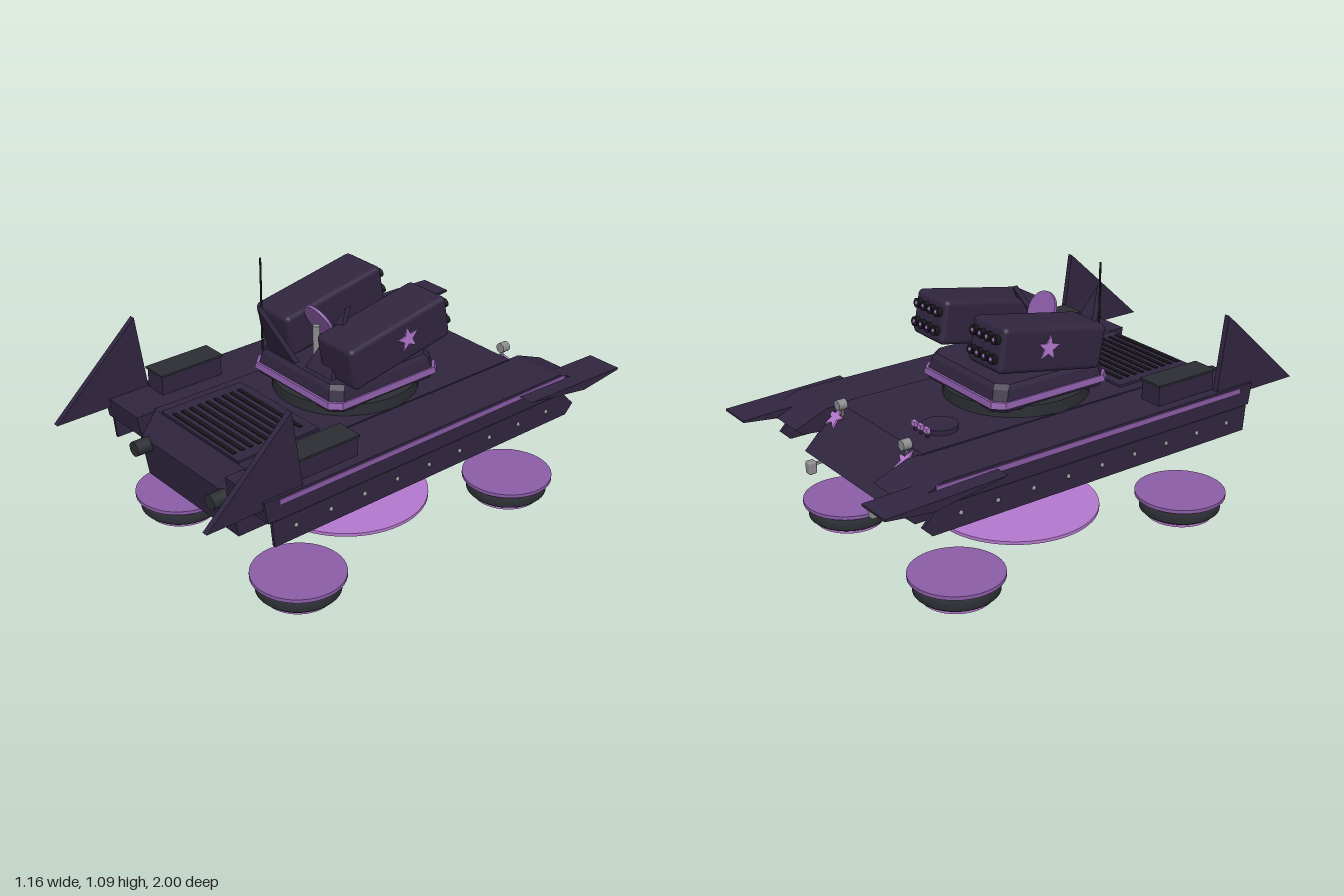
import * as THREE from 'three';
import { RoundedBoxGeometry } from 'three/addons/geometries/RoundedBoxGeometry.js';
import { ConvexGeometry } from 'three/addons/geometries/ConvexGeometry.js';

const material = (name, color, side = THREE.FrontSide) => {
  const m = new THREE.MeshStandardMaterial({ color, side });
  m.name = name;
  return m;
};

export function createModel() {
  const root = new THREE.Group();
  root.name = 'hoverTank';

  const armour = material('dark purple armour', 0x30253f);
  const trim = material('purple trim', 0x8a5ca6);
  const glow = material('bright violet', 0xb377cc);
  const rubber = material('dark grey', 0x2b2e33);
  const metal = material('light grey metal', 0x8c8c90);
  const black = material('black', 0x17171b);

  const add = (name, geo, mat, x = 0, y = 0, z = 0, parent = root) => {
    const mesh = new THREE.Mesh(geo, mat);
    mesh.name = name;
    mesh.position.set(x, y, z);
    parent.add(mesh);
    return mesh;
  };
  const box = (w, h, d) => new THREE.BoxGeometry(w, h, d);
  const disc = (r, h, n = 40, r2 = r) => new THREE.CylinderGeometry(r, r2, h, n);

  // Extrudes a [z, y] side profile between two x positions
  const slab = (profile, x0, x1) => {
    const shape = new THREE.Shape(profile.map(([z, y]) => new THREE.Vector2(z, y)));
    return new THREE.ExtrudeGeometry(shape, { depth: x1 - x0, bevelEnabled: false })
      .rotateY(-Math.PI / 2).translate(x1, 0, 0);
  };
  // Mirrors an x range
  const range = (s, a, b) => (s > 0 ? [a, b] : [-b, -a]);

  // Solid through chamfered rectangles [y, half width, back z, front z]
  const loft = (sections, c) => new ConvexGeometry(sections.flatMap(([y, w, z0, z1]) =>
    [-1, 1].flatMap((s) => [
      [s * w, z0 + c], [s * (w - c), z0], [s * w, z1 - c], [s * (w - c), z1],
    ].map(([x, z]) => new THREE.Vector3(x, y, z)))));

  const star = (r) => {
    const pts = [];
    for (let i = 0; i < 10; i++) {
      const a = Math.PI / 2 + (i * Math.PI) / 5, q = i % 2 ? r * 0.42 : r;
      pts.push(new THREE.Vector2(q * Math.cos(a), q * Math.sin(a)));
    }
    return new THREE.ExtrudeGeometry(new THREE.Shape(pts), { depth: 0.008, bevelEnabled: false });
  };

  // Hull
  add('hull', slab([[0.72, 0.29], [0.75, 0.47], [0.68, 0.56], [-0.66, 0.56], [-0.82, 0.4], [-0.7, 0.29]],
    -0.29, 0.29), armour);

  for (const s of [-1, 1]) {
    // Side sponsons with stripe, skirt and rivets
    add('sponson', slab([[0.75, 0.465], [0.765, 0.555], [-0.72, 0.555], [-0.86, 0.5], [-0.83, 0.475], [-0.74, 0.465]],
      ...range(s, 0.28, 0.51)), armour);
    add('sideStripe', box(0.006, 0.022, 1.45), trim, s * 0.511, 0.535, -0.025);
    add('skirt', slab([[0.735, 0.465], [0.725, 0.36], [-0.77, 0.36], [-0.81, 0.4], [-0.745, 0.465]],
      ...range(s, 0.5, 0.513)), armour);
    for (let i = 0; i < 9; i++) {
      add('rivet', new THREE.SphereGeometry(0.009, 10, 8), metal, s * 0.513, 0.415, 0.63 - i * 0.16);
    }

    // Nose plates and tail fins
    add('nosePlate', slab([[-0.49, 0.538], [-1, 0.523], [-1, 0.515], [-0.8, 0.49]],
      ...range(s, 0.43, 0.578)), armour);
    add('tailFin', slab([[0.58, 0.52], [1, 0.52], [0.63, 0.862]], ...range(s, 0.474, 0.498)), armour);

    // Storage boxes with lids
    add('storageBox', box(0.1, 0.085, 0.28), armour, s * 0.418, 0.592, 0.447);
    add('storageLid', box(0.113, 0.008, 0.292), rubber, s * 0.418, 0.638, 0.447);

    // Exhausts, lamps and glacis stars
    add('exhaust', disc(0.03, 0.1, 20).rotateX(Math.PI / 2), rubber, s * 0.245, 0.45, 0.76);
    add('upperLamp', disc(0.021, 0.036, 14).rotateX(Math.PI / 2), metal, s * 0.225, 0.582, -0.69);
    add('lampStand', box(0.008, 0.06, 0.008), metal, s * 0.225, 0.54, -0.685);
    add('lowerLamp', new RoundedBoxGeometry(0.034, 0.052, 0.036, 2, 0.008), metal, s * 0.225, 0.36, -0.832);
    add('lampBracket', box(0.01, 0.01, 0.1), metal, s * 0.225, 0.37, -0.775);
    const emblem = add('noseStar', star(0.05), glow, s * 0.245, 0.522, -0.704);
    emblem.rotation.set(-Math.PI / 4, Math.PI, 0, 'YXZ');

    // Hover pads
    for (const z of [0.52, -0.585]) {
      const pad = new THREE.Group();
      pad.name = 'hoverPad';
      pad.position.set(s * 0.382, 0, z);
      root.add(pad);
      add('padGlow', disc(0.137, 0.022), glow, 0, 0.011, 0, pad);
      add('padBody', new THREE.LatheGeometry([[0, 0.02], [0.155, 0.02], [0.165, 0.03], [0.167, 0.086], [0, 0.086]]
        .map(([x, y]) => new THREE.Vector2(x, y)), 40), rubber, 0, 0, 0, pad);
      add('padRim', disc(0.185, 0.015), trim, 0, 0.0925, 0, pad);
    }
  }
  add('liftDisc', disc(0.342, 0.014, 64), glow, 0, 0.053, -0.032);

  // Engine deck with slats
  add('engineDeck', box(0.485, 0.012, 0.375), armour, 0, 0.563, 0.49);
  for (let i = 0; i < 9; i++) {
    add('engineSlat', box(0.385, 0.012, 0.016), black, 0, 0.567, 0.35 + i * 0.038);
  }

  // Driver hatch and vision blocks
  add('hatch', disc(0.07, 0.022, 32), armour, -0.14, 0.568, -0.485);
  for (let i = 0; i < 3; i++) {
    add('visionBlock', box(0.026, 0.02, 0.016), glow, -0.18 + i * 0.04, 0.588, -0.568);
    add('visionStand', box(0.012, 0.03, 0.01), armour, -0.18 + i * 0.04, 0.568, -0.565);
  }

  // Turret
  add('turretRing', disc(0.29, 0.05, 48), rubber, 0, 0.582, -0.03);
  add('turretLower', loft([[0.6, 0.25, -0.295, 0.23], [0.625, 0.26, -0.305, 0.24]], 0.04), armour);
  add('turretStripe', loft([[0.62, 0.266, -0.312, 0.246], [0.645, 0.261, -0.307, 0.241]], 0.04), trim);
  add('turretUpper', loft([[0.64, 0.255, -0.298, 0.232], [0.685, 0.245, -0.285, 0.222], [0.703, 0.235, -0.27, 0.21]], 0.04), armour);

  // Missile pods
  for (const s of [-1, 1]) {
    const pod = new THREE.Group();
    pod.name = 'missilePod';
    pod.position.set(s * 0.188, 0.82, -0.065);
    pod.rotation.x = 0.185;
    root.add(pod);
    add('podBody', new RoundedBoxGeometry(0.205, 0.178, 0.49, 4, 0.022), armour, 0, 0, 0, pod);
    const badge = add('podStar', star(0.052), glow, s * 0.1, 0.008, -0.03, pod);
    badge.rotation.y = s * Math.PI / 2;
    for (let i = 0; i < 4; i++) {
      for (const y of [-0.037, 0.037]) {
        const x = -0.066 + i * 0.044;
        add('launchTube', disc(0.019, 0.03, 16).rotateX(Math.PI / 2), black, x, y, -0.25, pod);
        add('missileTip', new THREE.SphereGeometry(0.009, 10, 8), trim, x, y, -0.263, pod);
      }
    }
  }

  // Radar mast and dish
  add('mast', disc(0.014, 0.15, 16), metal, 0, 0.77, 0.115);
  const dish = add('radarDish', disc(0.077, 0.012, 36), trim, 0, 0.858, 0.1);
  dish.rotation.x = -Math.PI / 2 + 0.45;

  // Turret blades, one leaning back and one forward
  const blade = (x0, x1, z, tipX, tipY, tipZ) => {
    const pts = [-0.012, 0.012].flatMap((d) => [
      new THREE.Vector3(x0, 0.69, z + d), new THREE.Vector3(x1, 0.69, z + d),
      new THREE.Vector3(tipX, tipY, tipZ + d),
    ]);
    add('turretBlade', new ConvexGeometry(pts), armour);
  };
  blade(-0.19, -0.02, 0.185, -0.1, 0.943, 0.308);
  blade(0.02, 0.18, 0.185, 0.105, 0.94, 0.045);

  add('antenna', disc(0.004, 0.39, 8), black, -0.208, 0.89, 0.218);
  return root;
}
